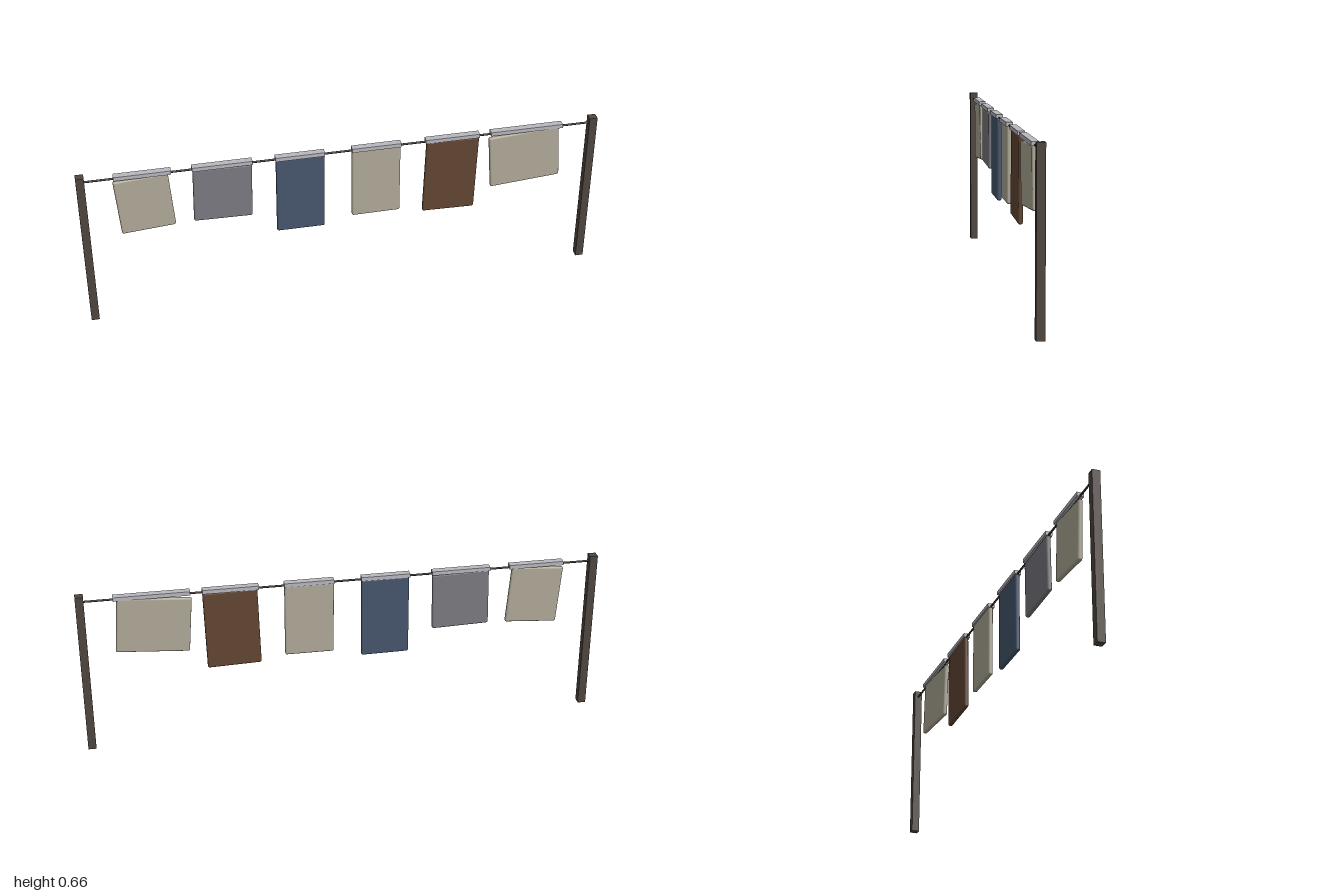
import * as THREE from 'three';
import { RoundedBoxGeometry } from 'three/addons/geometries/RoundedBoxGeometry.js';

const material = (name, color) => {
  const m = new THREE.MeshStandardMaterial({ color });
  m.name = name;
  return m;
};

export function createModel() {
  const wood = material('dark wood', 0x4f463f);
  const cord = material('cord', 0x3a322b);
  const fold = material('pale fold', 0xb9b8c0);
  const cream = material('cream cloth', 0xb0aa99);
  const grey = material('grey cloth', 0x7a7a81);
  const navy = material('navy cloth', 0x47566e);
  const brown = material('brown cloth', 0x624633);

  const model = new THREE.Group();
  model.name = 'clothesline';
  const add = (name, geometry, mat, x, y, roll = 0) => {
    const mesh = new THREE.Mesh(geometry, mat);
    mesh.name = name;
    mesh.position.set(x, y, 0);
    mesh.rotation.z = roll;
    model.add(mesh);
  };

  // End posts
  const postHeight = 0.657;
  for (const side of [-1, 1]) {
    add(side < 0 ? 'rightPost' : 'leftPost',
      new THREE.BoxGeometry(0.031, postHeight, 0.031), wood, side * 0.9845, postHeight / 2);
  }

  // Line strung between the posts
  add('line', new THREE.CylinderGeometry(0.004, 0.004, 1.96, 8), cord, 0, 0.632, Math.PI / 2);

  // Hanging cloths: [material, x, y, width, height, roll, fold x, fold width]
  const cloths = [
    [cream, -0.756, 0.508, 0.205, 0.235, 0.075, -0.757, 0.213],
    [grey, -0.462, 0.514, 0.223, 0.230, -0.025, -0.460, 0.227],
    [navy, -0.166, 0.469, 0.186, 0.325, -0.006, -0.166, 0.188],
    [cream, 0.128, 0.484, 0.189, 0.295, 0.005, 0.128, 0.190],
    [brown, 0.423, 0.471, 0.207, 0.318, -0.028, 0.425, 0.212],
    [cream, 0.718, 0.513, 0.279, 0.225, 0.075, 0.719, 0.286],
  ];
  cloths.forEach(([mat, x, y, w, h, roll, foldX, foldW], i) => {
    add(`cloth${i + 1}`, new RoundedBoxGeometry(w, h, 0.018, 2, 0.007), mat, x, y, roll);
    // Fold draped over the line
    add(`fold${i + 1}`, new THREE.BoxGeometry(foldW, 0.016, 0.027), fold, foldX, 0.637);
  });

  return model;
}
